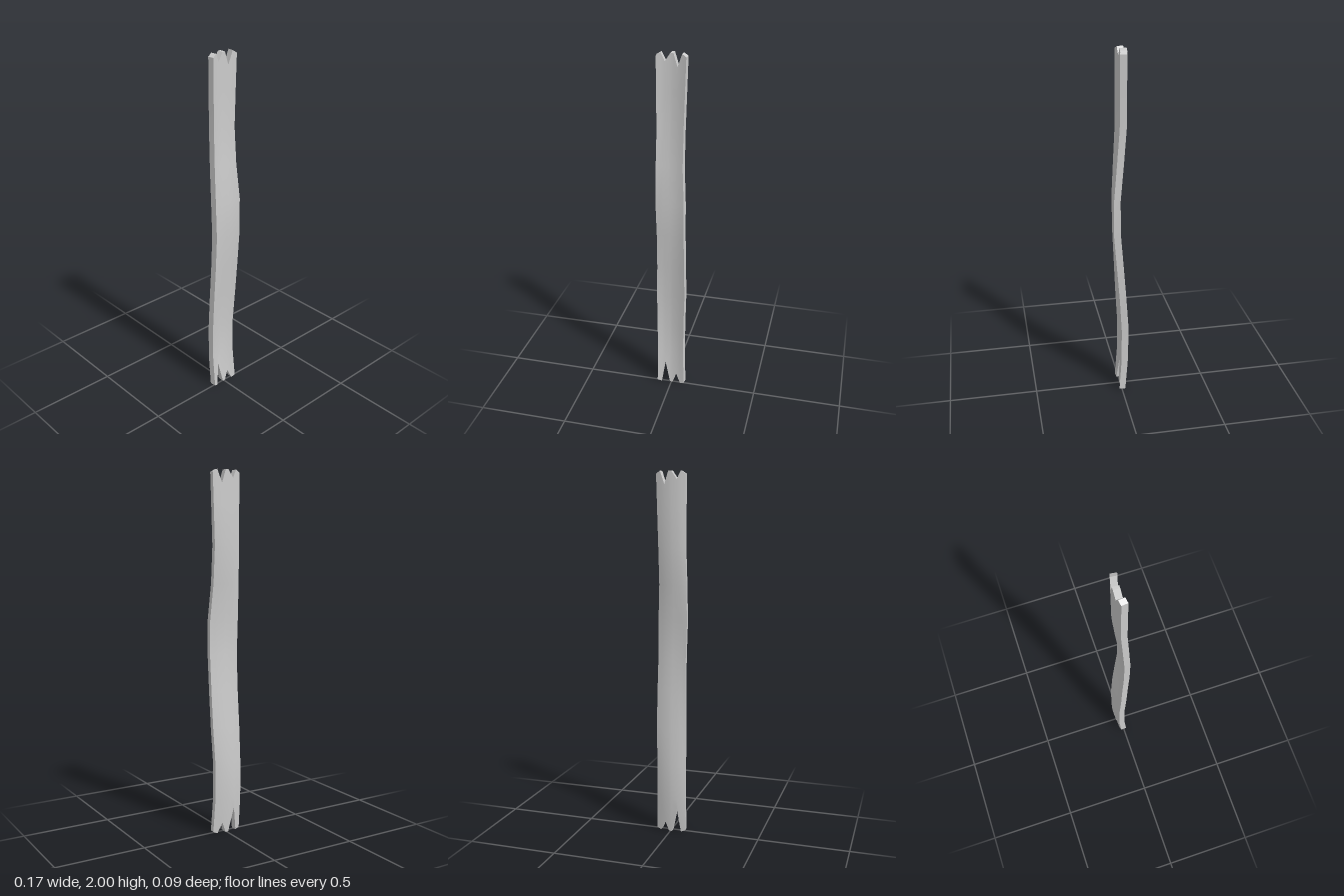
import * as THREE from 'three';

// Values at heights 0, 0.2, ... 2.0
const LEFT_X = [-0.084, -0.085, -0.085, -0.084, -0.079, -0.078, -0.084, -0.083, -0.079, -0.08, -0.08];
const RIGHT_X = [0.08, 0.073, 0.073, 0.08, 0.081, 0.08, 0.079, 0.068, 0.068, 0.074, 0.08];
const MID_Z = [0.005, -0.013, -0.014, 0.001, 0.017, 0.033, 0.034, 0.014, 0, 0, 0];
const LEFT_Z = [0.017, 0.002, 0.002, 0.013, 0.022, 0.031, 0.031, 0.022, 0.013, 0.013, 0.013];
const RIGHT_Z = [0.017, 0.003, 0.002, 0.014, 0.03, 0.046, 0.046, 0.028, 0.013, 0.013, 0.014];
const THICK = 0.034;

// Splintered ends: position across the board (-1..1) and end heights
const ACROSS = [-1, -0.7, -0.44, -0.08, 0.12, 0.41, 0.71, 1];
const BOTTOM = [0.01, 0, 0.14, 0, 0, 0.06, 0, 0.01];
const TOP = [1.985, 2, 1.957, 2, 2, 1.93, 2, 1.985];

function sample(list, y) {
  const i = Math.min(Math.floor(y / 0.2 + 1e-6), list.length - 2);
  return THREE.MathUtils.lerp(list[i], list[i + 1], y / 0.2 - i);
}

// Point on the front or back of the warped, cupped board
function boardPoint(u, y, back) {
  const l = sample(LEFT_X, y), r = sample(RIGHT_X, y);
  const mid = sample(MID_Z, y);
  const edge = u < 0 ? sample(LEFT_Z, y) : sample(RIGHT_Z, y);
  const x = (l + r) / 2 + u * (r - l) / 2 + (back ? 0.002 : -0.002) * u;
  return [x, y, mid + (edge - mid) * u * u - (back ? THICK : 0)];
}

// Smooth sheet through a grid of points; rows run up, columns run right
function sheet(name, grid, flip = false) {
  const cols = grid[0].length, index = [];
  for (let j = 0; j < grid.length - 1; j++) {
    for (let i = 0; i < cols - 1; i++) {
      const a = j * cols + i, b = a + 1, c = a + cols, d = c + 1;
      if (flip) index.push(a, d, b, a, c, d);
      else index.push(a, b, d, a, d, c);
    }
  }
  const geo = new THREE.BufferGeometry();
  geo.setAttribute('position', new THREE.Float32BufferAttribute(grid.flat(2), 3));
  geo.setIndex(index);
  geo.computeVertexNormals();
  const mesh = new THREE.Mesh(geo, new THREE.MeshStandardMaterial({ color: 0xcccccc }));
  mesh.name = name;
  return mesh;
}

export function createModel() {
  const group = new THREE.Group();
  group.name = 'brokenPlank';

  // Height of each grid row; the first and last rows follow the splinters
  const rowY = (j, i) => (j === 0 ? BOTTOM[i] : j === 10 ? TOP[i] : j * 0.2);
  const face = (back) => Array.from({ length: 11 }, (_, j) =>
    ACROSS.map((u, i) => boardPoint(u, rowY(j, i), back)));
  const front = face(false), back = face(true);

  // Broad faces
  group.add(sheet('frontFace', front), sheet('backFace', back, true));

  // Long narrow edges
  const last = ACROSS.length - 1;
  group.add(
    sheet('leftEdge', front.map((row, j) => [row[last], back[j][last]])),
    sheet('rightEdge', front.map((row, j) => [back[j][0], row[0]])),
  );

  // Jagged ends, one flat strip per splinter side
  for (let i = 0; i < last; i++) {
    group.add(
      sheet('topSplinter', [front[10].slice(i, i + 2), back[10].slice(i, i + 2)]),
      sheet('bottomSplinter', [front[0].slice(i, i + 2), back[0].slice(i, i + 2)], true),
    );
  }
  return group;
}
